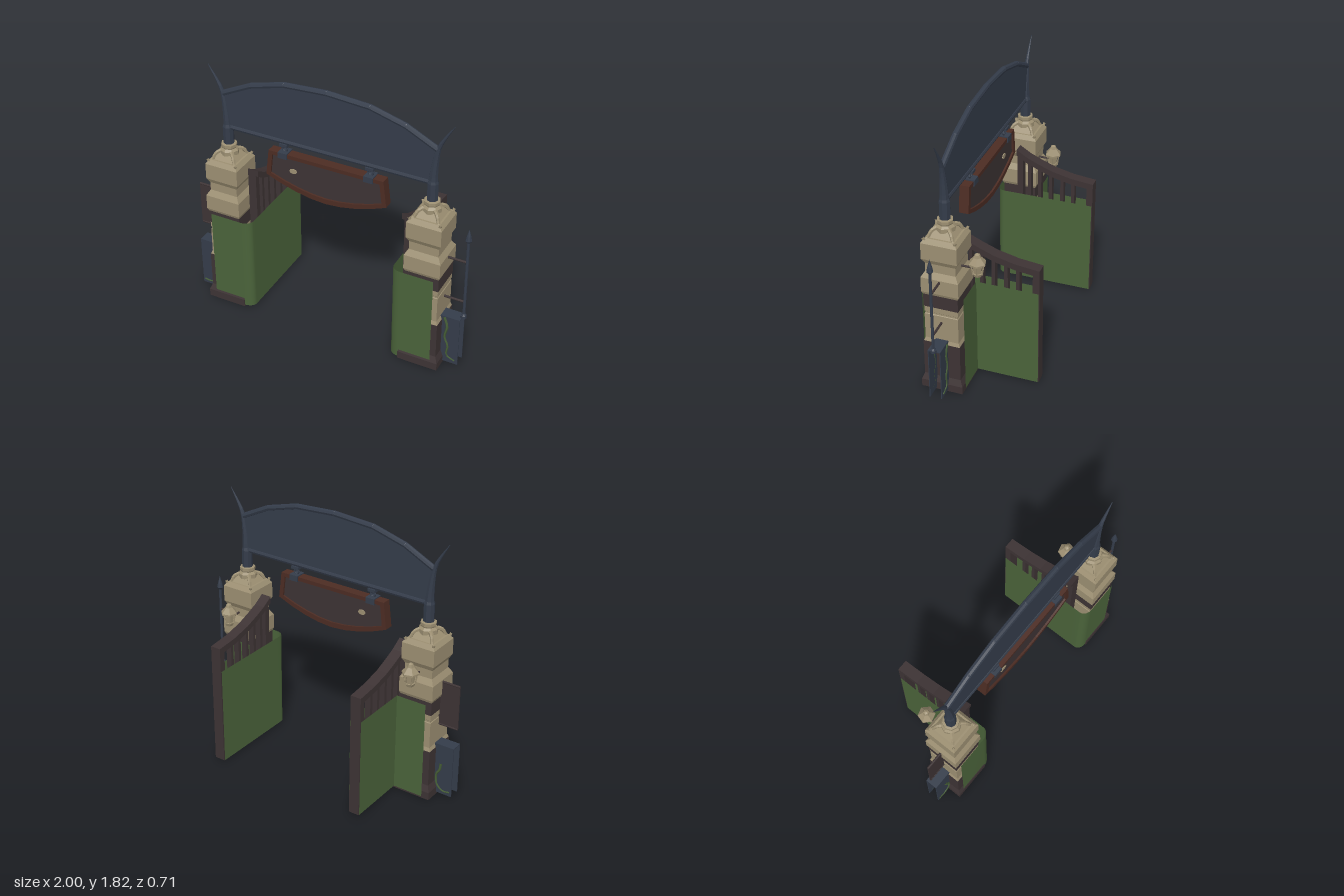
import * as THREE from 'three';

const mat = (name, color, extra = {}) => {
  const m = new THREE.MeshStandardMaterial({ color, ...extra });
  m.name = name;
  return m;
};
const V = (x, y, z) => new THREE.Vector3(x, y, z);

export function createModel() {
  const flat = { flatShading: true };
  const stone = mat('sandstone', 0x9c8f72, flat);
  const wood = mat('dark wood', 0x3d3334, flat);
  const iron = mat('blue iron', 0x343c4a, flat);
  const frame = mat('red wood', 0x4c2c23, flat);
  const hedge = mat('hedge green', 0x4a633a, { side: THREE.DoubleSide });

  const root = new THREE.Group();
  root.name = 'gateway';
  root.position.x = -0.012;
  const CZ = 0.21; // depth of the pillar line

  const add = (name, geo, m, x = 0, y = 0, z = 0) => {
    const mesh = new THREE.Mesh(geo, m);
    mesh.name = name;
    mesh.position.set(x, y, z);
    root.add(mesh);
    return mesh;
  };
  const box = (name, m, x0, x1, y0, y1, z0, z1) =>
    add(name, new THREE.BoxGeometry(Math.abs(x1 - x0), y1 - y0, Math.abs(z1 - z0)), m,
      (x0 + x1) / 2, (y0 + y1) / 2, (z0 + z1) / 2);
  // Turned profile of [radius, y] points; four sides makes a square section
  const turned = (name, m, pts, sides, x, z) => {
    const k = sides === 4 ? Math.SQRT2 : 1;
    const g = new THREE.LatheGeometry(pts.map(([r, y]) => new THREE.Vector2(r * k, y)), sides, Math.PI / 4);
    return add(name, g, m, x, 0, z);
  };
  const rod = (name, m, a, b, r, r2 = r, sides = 8) => {
    const d = b.clone().sub(a);
    const mesh = add(name, new THREE.CylinderGeometry(r2, r, d.length(), sides), m);
    mesh.position.copy(a).add(b).multiplyScalar(0.5);
    mesh.quaternion.setFromUnitVectors(V(0, 1, 0), d.normalize());
    return mesh;
  };
  // Tube whose radius shrinks from r0 to r1
  const horn = (name, m, pts, r0, r1, seg = 10, sides = 8) => {
    const curve = new THREE.CatmullRomCurve3(pts);
    const g = new THREE.TubeGeometry(curve, seg, 1, sides);
    const p = g.attributes.position, v = V(0, 0, 0);
    for (let i = 0; i < p.count; i++) {
      const t = Math.floor(i / (sides + 1)) / seg;
      const c = curve.getPointAt(t);
      v.fromBufferAttribute(p, i).sub(c).multiplyScalar(r0 + (r1 - r0) * t).add(c);
      p.setXYZ(i, v.x, v.y, v.z);
    }
    return add(name, g, m);
  };
  // Upright sheet following [x, z] points
  const sheet = (name, m, path, y0, y1) => {
    const n = path.length, g = new THREE.PlaneGeometry(1, 1, n - 1, 1);
    path.forEach(([x, z], i) => {
      g.attributes.position.setXYZ(i, x, y1, z);
      g.attributes.position.setXYZ(n + i, x, y0, z);
    });
    g.computeVertexNormals();
    return add(name, g, m);
  };
  const plate = (name, m, pts, depth, z, hole) => {
    const s = new THREE.Shape(pts.map(([x, y]) => new THREE.Vector2(x, y)));
    if (hole) s.holes.push(new THREE.Path(hole.map(([x, y]) => new THREE.Vector2(x, y))));
    return add(name, new THREE.ExtrudeGeometry(s, { depth, bevelEnabled: false }), m, 0, 0, z - depth / 2);
  };

  for (const s of [-1, 1]) {
    const px = s * 0.732;
    // Pillar
    turned('pillarBase', wood, [[0, 0], [0.142, 0], [0.142, 0.055], [0.125, 0.1], [0.125, 0.36], [0, 0.36]], 4, px, CZ);
    turned('pillarShaft', stone, [[0.125, 0.355], [0.114, 0.385], [0.114, 0.57], [0.11, 0.574], [0.11, 0.586], [0.114, 0.59], [0.114, 0.64]], 4, px, CZ);
    turned('pillarBand', wood, [[0.117, 0.63], [0.117, 0.735], [0, 0.735]], 4, px, CZ);
    turned('pillarHead', stone, [[0, 0.725], [0.118, 0.725], [0.126, 0.745], [0.126, 0.85], [0.102, 0.89], [0.102, 0.95],
      [0.12, 0.985], [0.12, 1.1], [0.098, 1.13], [0.085, 1.13], [0.05, 1.17], [0.04, 1.2]], 4, px, CZ);
    turned('pillarCollar', stone, [[0.04, 1.15], [0.066, 1.16], [0.066, 1.19], [0.05, 1.205], [0.054, 1.215], [0.054, 1.235], [0, 1.245]], 8, px, CZ);
    for (const a of [-1, 1]) for (const b of [-1, 1]) {
      const q = (r, y) => V(px + a * r, y, CZ + b * r);
      horn('capClaw', stone, [q(0.04, 1.185), q(0.065, 1.17), q(0.085, 1.125), q(0.1, 1.118), q(0.108, 1.14)], 0.015, 0.009, 8, 6);
    }

    // Horned post
    turned('postSocket', iron, [[0.037, 1.23], [0.037, 1.36], [0.028, 1.39]], 8, px, CZ);
    horn('postHorn', iron, [V(px, 1.33, CZ), V(px + s * 0.004, 1.45, CZ), V(px + s * 0.03, 1.62, CZ),
      V(px + s * 0.07, 1.7, CZ), V(px + s * 0.126, 1.79, CZ)], 0.034, 0.002, 12);

    // Hedge skin: rounded front corner, inner side, outer side and pillar back
    const skin = [[s * 0.82, 0.347], [s * 0.59, 0.347]];
    for (let i = 1; i <= 6; i++) {
      const t = (i / 6) * Math.PI / 2;
      skin.push([s * (0.59 - 0.067 * Math.sin(t)), 0.297 + 0.05 * Math.cos(t)]);
    }
    skin.push([s * 0.523, 0.25], [s * 0.523, -0.355]);
    sheet('hedgeFront', hedge, skin, 0.012, 0.715);
    sheet('hedgeOuterSide', hedge, [[s * 0.604, -0.355], [s * 0.604, 0.066]], 0.012, 0.715);
    sheet('hedgeBack', hedge, [[s * 0.604, 0.066], [s * 0.82, 0.066]], 0.012, 0.715);

    // Gate leaf: sweeping top rail, bars and end post
    const rail = [[0.2, 1.06], [0.12, 1.01], [0.04, 0.975], [-0.06, 0.937], [-0.2, 0.905], [-0.36, 0.888]];
    const outline = [...rail, ...rail.slice().reverse().map(([z, y]) => [z, y - 0.045])];
    const railShape = new THREE.Shape(outline.map(([z, y]) => new THREE.Vector2(-z, y)));
    const railMesh = add('gateRail', new THREE.ExtrudeGeometry(railShape, { depth: 0.076, bevelEnabled: false }), wood, s * 0.565 - 0.038);
    railMesh.rotation.y = Math.PI / 2;
    const railY = z => {
      const i = Math.max(1, rail.findIndex(p => p[0] <= z));
      const [a, b] = [rail[i - 1], rail[i]];
      return a[1] + (b[1] - a[1]) * (a[0] - z) / (a[0] - b[0]) - 0.02;
    };
    for (const z of [0.11, 0.035, -0.045, -0.13, -0.21])
      box('gateBar', wood, s * 0.545, s * 0.585, 0.05, railY(z), z - 0.012, z + 0.012);
    box('gateEndPost', wood, s * 0.527, s * 0.603, 0.012, 0.87, -0.36, -0.315);
    box('gateHingePost', wood, s * 0.545, s * 0.603, 0.012, 1.03, 0.16, 0.2);

    // Lantern behind the pillar
    const lx = s * 0.738, lz = 0.0;
    turned('lanternRoof', stone, [[0, 0.95], [0.058, 0.95], [0.058, 0.962], [0.025, 1.0], [0.018, 1.02], [0, 1.03]], 6, lx, lz);
    turned('lanternCore', stone, [[0.026, 0.885], [0.036, 0.952]], 6, lx, lz);
    turned('lanternFoot', stone, [[0, 0.86], [0.026, 0.862], [0.036, 0.885], [0, 0.89]], 6, lx, lz);
    for (let i = 0; i < 6; i++) {
      const a = Math.PI / 4 + i * Math.PI / 3, c = Math.sin(a), d = Math.cos(a);
      rod('lanternBar', stone, V(lx + c * 0.034, 0.88, lz + d * 0.034), V(lx + c * 0.046, 0.955, lz + d * 0.046), 0.005, 0.005, 4);
    }
    rod('lanternBracket', wood, V(lx, 0.915, 0.03), V(lx, 0.915, 0.12), 0.007);

    // Side trough, open at its outer end, with creeping vine
    const out = s > 0 ? 0.98 : -0.988;
    for (const z of [0.17, 0.25]) box('troughSide', iron, s * 0.83, out, 0.015, 0.39, z - 0.003, z + 0.003);
    box('troughTop', iron, s * 0.83, out, 0.384, 0.39, 0.17, 0.25);
    const vine = s > 0
      ? [[0.872, 0.385], [0.895, 0.31], [0.88, 0.22], [0.905, 0.15], [0.9, 0.07], [0.96, 0.04]]
      : [[-0.9, 0.25], [-0.89, 0.19], [-0.87, 0.16], [-0.875, 0.08], [-0.92, 0.04], [-0.975, 0.045]];
    for (const z of [0.167, 0.253])
      horn('vine', hedge, vine.map(([x, y]) => V(x, y, z)), 0.01, 0.006, 14, 4);

    // Wall brackets
    for (const y of [0.52, 0.835])
      rod('sideBracket', wood, V(s * 0.83, y, CZ), V(s * 0.986, y, CZ), 0.008);

    // Sign hanger
    const hx = s * 0.308;
    box('hangerBlock', iron, hx - 0.033, hx + 0.033, 1.25, 1.292, CZ - 0.04, CZ + 0.04);
    add('hangerLink', new THREE.TorusGeometry(0.019, 0.006, 6, 8), iron, hx, 1.308, CZ);
    add('hangerLink', new THREE.TorusGeometry(0.015, 0.006, 6, 8), iron, hx, 1.332, CZ).rotation.y = Math.PI / 2;
    box('hangerClip', iron, hx - 0.028, hx + 0.028, 1.33, 1.35, CZ - 0.025, CZ + 0.025);
  }

  // Spear on the left, banner on the right
  rod('spearShaft', iron, V(0.988, 0.4, CZ), V(0.988, 1.02, CZ), 0.01);
  turned('spearHead', iron, [[0.01, 0.99], [0.022, 1.005], [0.015, 1.04], [0, 1.092]], 8, 0.988, CZ);
  turned('spearButt', iron, [[0, 0.388], [0.02, 0.392], [0.02, 0.412], [0.01, 0.425]], 8, 0.988, CZ);
  box('sideBanner', wood, -0.988, -0.84, 0.515, 0.84, CZ - 0.004, CZ + 0.004);

  // Arched board with rim
  const half = [[0, 1.795], [0.3, 1.776], [0.54, 1.71], [0.752, 1.605]];
  const top = [...half.slice(1).reverse().map(([x, y]) => [-x, y]), ...half];
  plate('archBoard', iron, [[-0.705, 1.36], [0.705, 1.36], ...top.slice().reverse()], 0.02, CZ);
  for (let i = 1; i < top.length; i++)
    rod('archRim', iron, V(...top[i - 1], CZ), V(...top[i], CZ), 0.02);
  for (const [x, y] of top.slice(1, -1)) add('archRimJoint', new THREE.SphereGeometry(0.02, 8, 6), iron, x, y, CZ);
  rod('archBar', iron, V(-0.73, 1.363, CZ), V(0.73, 1.363, CZ), 0.02);

  // Hanging sign with curved lower edge
  const sign = (w0, w1, y0, y1, yb) => {
    const pts = [[-w0, y0], [-w1, y1]];
    for (let i = 1; i < 8; i++) {
      const x = -w1 + (2 * w1 * i) / 8, k = Math.abs(x / w1);
      pts.push([x, yb + (y1 - yb) * Math.pow(k, 1.8)]);
    }
    return [...pts, [w1, y1], [w0, y0]];
  };
  const inner = sign(0.385, 0.402, 1.258, 1.113, 1.026);
  plate('signFrame', frame, sign(0.412, 0.435, 1.285, 1.097, 0.99), 0.066, CZ, inner);
  plate('signPanel', wood, inner, 0.04, CZ);
  for (const f of [-1, 1]) {
    const spot = add('signBoss', new THREE.CylinderGeometry(0.028, 0.028, 0.008, 8), stone, -0.238, 1.165, CZ + f * 0.022);
    spot.rotation.x = Math.PI / 2;
    spot.scale.z = 0.65;
  }
  return root;
}
